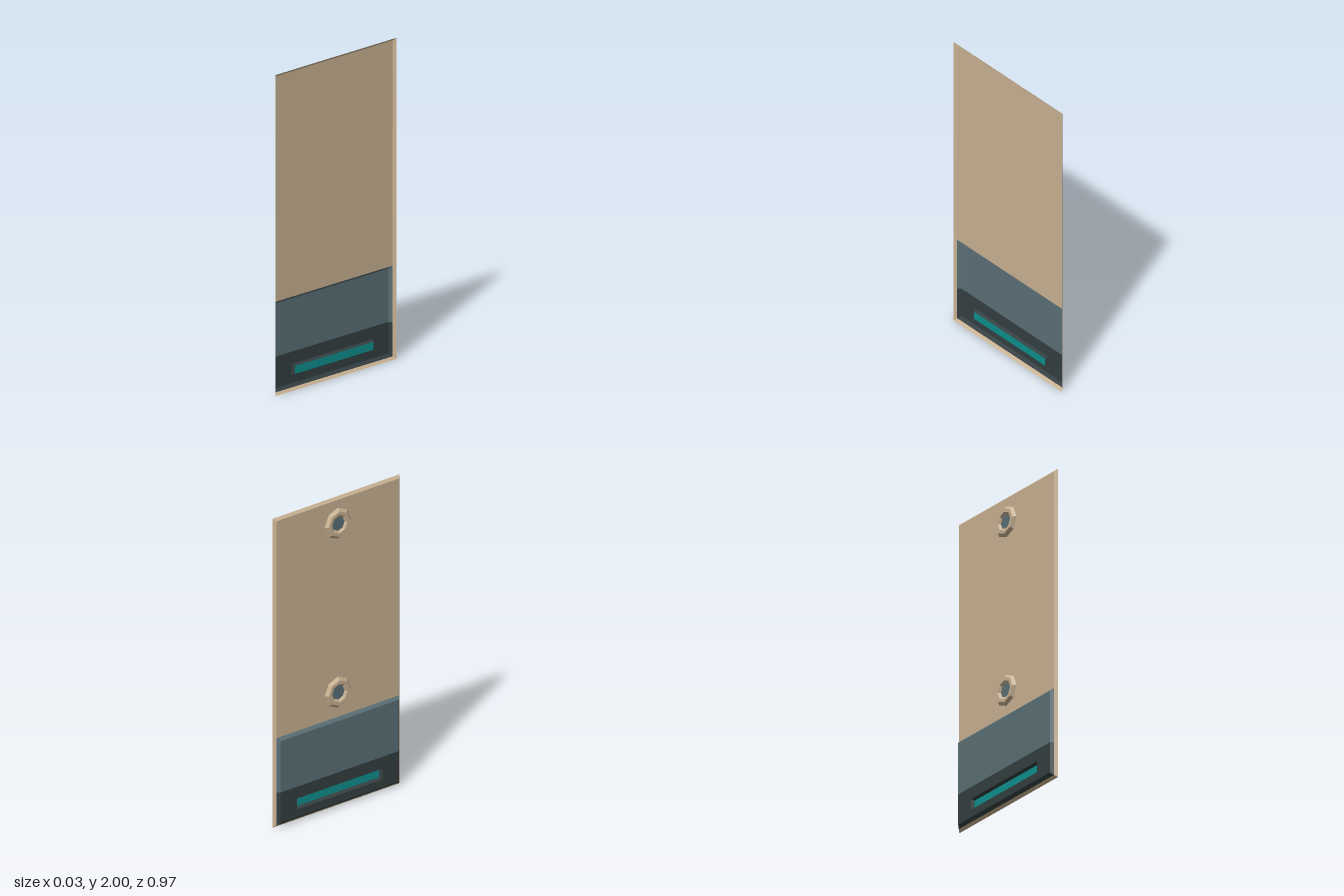
import * as THREE from 'three';

const mat = (name, color) => new THREE.MeshStandardMaterial({ name, color, side: THREE.DoubleSide, flatShading: true });

// Rectangle and octagon loops facing x, as lists of [x, y, z]
const rect = (x, y0, y1, w) => [[x, y0, w], [x, y0, -w], [x, y1, -w], [x, y1, w]];
const octagon = (x, cy, r) => Array.from({ length: 8 }, (_, i) => {
  const a = -i * Math.PI / 4;
  return [x, cy + r * Math.cos(a), r * Math.sin(a)];
});

// Mesh made of four-cornered faces
function faces(name, quads, material) {
  const pos = quads.flatMap(([a, b, c, d]) => [a, b, c, a, c, d]).flat();
  const g = new THREE.BufferGeometry();
  g.setAttribute('position', new THREE.Float32BufferAttribute(pos, 3));
  g.computeVertexNormals();
  const m = new THREE.Mesh(g, material);
  m.name = name;
  return m;
}

// Band of faces joining two loops
const band = (a, b) => a.map((p, i) => {
  const j = (i + 1) % a.length;
  return [p, a[j], b[j], b[i]];
});

export function createModel() {
  const model = new THREE.Group();
  model.name = 'wallPanel';
  const tan = mat('tan', 0xcab293);
  const slate = mat('slate', 0x5b7076);
  const dark = mat('charcoal', 0x343f41);
  const teal = mat('teal', 0x0d908e);

  const X1 = 0.016, X0 = 0, XB = -0.018;   // open rim, panel sheet, back of tray
  const W = 0.486, W0 = 0.47, WB = 0.452;  // half widths at those depths
  const yLow = 0.016, yTray = 0.58, ySplit = 0.23;
  const bLow = yLow + 0.018, bTop = yTray - 0.018;

  // Upper sheet and the sloping rim around the whole panel
  model.add(faces('panelSheet', [rect(X0, yTray, 1.984, W0)], tan));
  model.add(faces('panelRim', band(rect(X1, 0, 2, W), rect(X0, yLow, 1.984, W0)), tan));

  // Tray: upper slate half and lower dark half
  const side = (s, ya, yb, yc, yd) => [[X0, ya, s * W0], [X0, yb, s * W0], [XB, yc, s * WB], [XB, yd, s * WB]];
  model.add(faces('trayUpper', [
    rect(XB, ySplit, bTop, WB),
    [[X0, yTray, W0], [X0, yTray, -W0], [XB, bTop, -WB], [XB, bTop, WB]],
    side(1, ySplit, yTray, bTop, ySplit),
    side(-1, ySplit, yTray, bTop, ySplit),
  ], slate));

  // Slot loops: mouth in the tray back, floor pushed towards +x
  const mouth = rect(XB, 0.083, 0.153, 0.327);
  const floor = rect(0.002, 0.094, 0.144, 0.316);
  model.add(faces('trayLower', [
    ...band(rect(XB, bLow, ySplit, WB), mouth),
    [[X0, yLow, W0], [X0, yLow, -W0], [XB, bLow, -WB], [XB, bLow, WB]],
    side(1, yLow, ySplit, ySplit, bLow),
    side(-1, yLow, ySplit, ySplit, bLow),
  ], dark));
  model.add(faces('slotWalls', band(mouth, floor), dark));
  model.add(faces('slotLight', [floor], teal));

  // Eight-sided studs on the back, each with a sunken centre
  for (const cy of [1.833, 0.74]) {
    const stud = new THREE.Group();
    stud.name = cy > 1 ? 'upperStud' : 'lowerStud';
    const loops = [[X0, 0.1], [XB, 0.082], [XB, 0.06], [-0.006, 0.046]].map(([x, r]) => octagon(x, cy, r));
    stud.add(faces('studRing', loops.slice(1).flatMap((l, i) => band(loops[i], l)), tan));
    const c = [-0.006, cy, 0], l = loops[3];
    stud.add(faces('studCentre', [0, 2, 4, 6].map(i => [c, l[i], l[i + 1], l[(i + 2) % 8]]), slate));
    model.add(stud);
  }
  return model;
}
